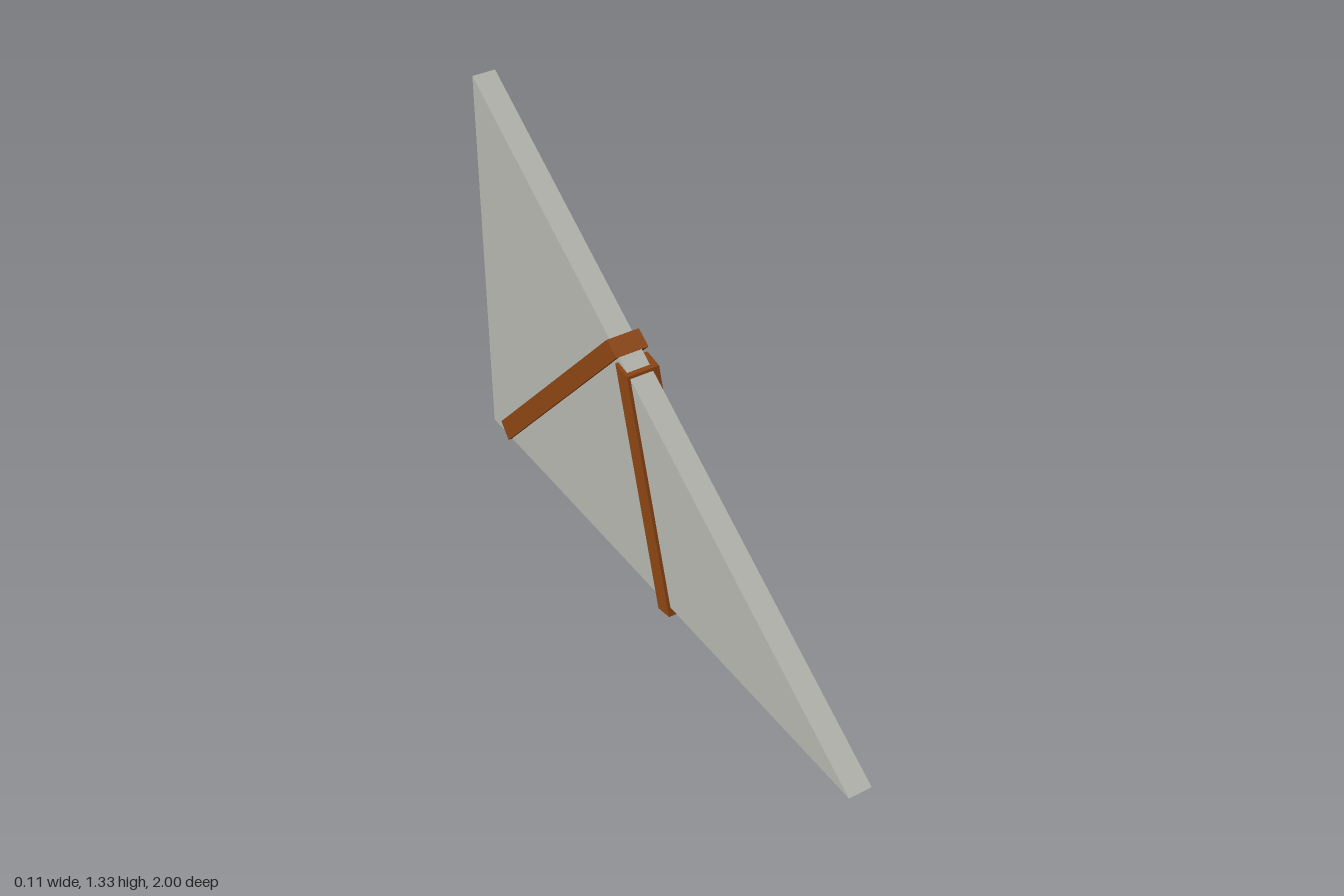
import * as THREE from 'three';

// Extrude a side profile of [z, y] points between two x positions
function slab(name, profile, xMin, xMax, material) {
  const shape = new THREE.Shape(profile.map(([z, y]) => new THREE.Vector2(z, y)));
  const geometry = new THREE.ExtrudeGeometry(shape, { depth: xMax - xMin, bevelEnabled: false });
  geometry.rotateY(-Math.PI / 2);
  geometry.translate(xMax, 0, 0);
  const mesh = new THREE.Mesh(geometry, material);
  mesh.name = name;
  return mesh;
}

export function createModel() {
  const group = new THREE.Group();
  group.name = 'strappedWedge';
  const stone = new THREE.MeshStandardMaterial({ color: 0xb5b6af });
  const leather = new THREE.MeshStandardMaterial({ color: 0x8b4513 });

  // Thin right-triangle wedge, tall edge at the back
  group.add(slab('wedge', [[1, 0.038], [-1, 0.038], [-1, 1.33]], -0.045, 0.032, stone));

  // Two slanted bands around the wedge, meeting near the middle of the slope
  const bands = {
    frontBand: [[0.11, 0.01], [0.05, 0], [-0.18, 0.777], [-0.116, 0.766]],
    backBand: [[-0.173, 0.799], [-0.226, 0.832], [-0.93, 0.08], [-0.885, 0.03]],
  };
  for (const [name, profile] of Object.entries(bands)) {
    group.add(slab(name, profile, -0.055, 0.054, leather));
  }
  return group;
}
